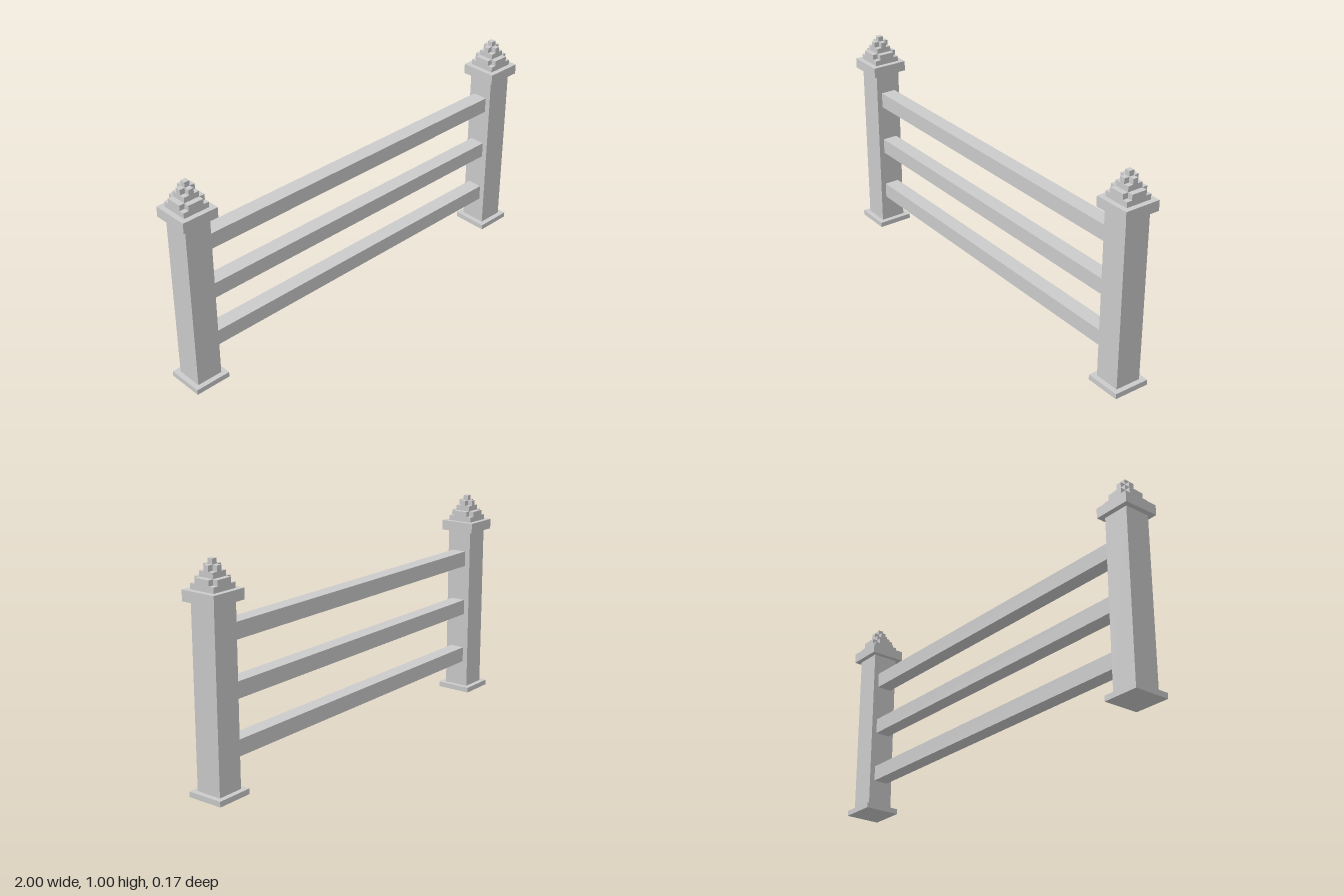
import * as THREE from 'three';

const material = new THREE.MeshStandardMaterial({ color: 0xcccccc, flatShading: true });

// Box standing on y0 and reaching y1, centred on its own x and z
function slab(name, width, depth, y0, y1) {
  const mesh = new THREE.Mesh(new THREE.BoxGeometry(width, y1 - y0, depth), material);
  mesh.name = name;
  mesh.position.y = (y0 + y1) / 2;
  return mesh;
}

// Plus-shaped layer: a square of side `size` with its corners notched by `notch`
function notchedLayer(name, size, notch, y0, y1) {
  const a = size / 2, b = a - notch;
  const shape = new THREE.Shape([
    [a, -b], [a, b], [b, b], [b, a], [-b, a], [-b, b],
    [-a, b], [-a, -b], [-b, -b], [-b, -a], [b, -a], [b, -b],
  ].map(([x, y]) => new THREE.Vector2(x, y)));
  const geometry = new THREE.ExtrudeGeometry(shape, { depth: y1 - y0, bevelEnabled: false });
  geometry.rotateX(-Math.PI / 2);
  const mesh = new THREE.Mesh(geometry, material);
  mesh.name = name;
  mesh.position.y = y0;
  return mesh;
}

// Post with foot, cap and stepped finial
function createPost(name, x) {
  const post = new THREE.Group();
  post.name = name;
  post.position.x = x;
  post.add(
    slab('foot', 0.173, 0.173, 0, 0.025),
    slab('shaft', 0.125, 0.125, 0.025, 0.828),
    slab('cap', 0.173, 0.173, 0.828, 0.876),
    slab('finialBase', 0.125, 0.125, 0.876, 0.901),
    notchedLayer('finialLowerStep', 0.125, 0.025, 0.901, 0.926),
    slab('finialMiddle', 0.074, 0.074, 0.926, 0.951),
    notchedLayer('finialUpperStep', 0.074, 0.0245, 0.951, 0.976),
    slab('finialTip', 0.025, 0.025, 0.976, 1),
  );
  return post;
}

export function createModel() {
  const fence = new THREE.Group();
  fence.name = 'fence';
  const postX = 0.9135;
  fence.add(createPost('leftPost', postX), createPost('rightPost', -postX));

  // Three rails between the inner faces of the posts
  ['lowerRail', 'middleRail', 'upperRail'].forEach((name, i) => {
    const y = 0.19 + i * 0.25;
    fence.add(slab(name, 2 * (postX - 0.0625), 0.073, y - 0.037, y + 0.037));
  });
  return fence;
}
